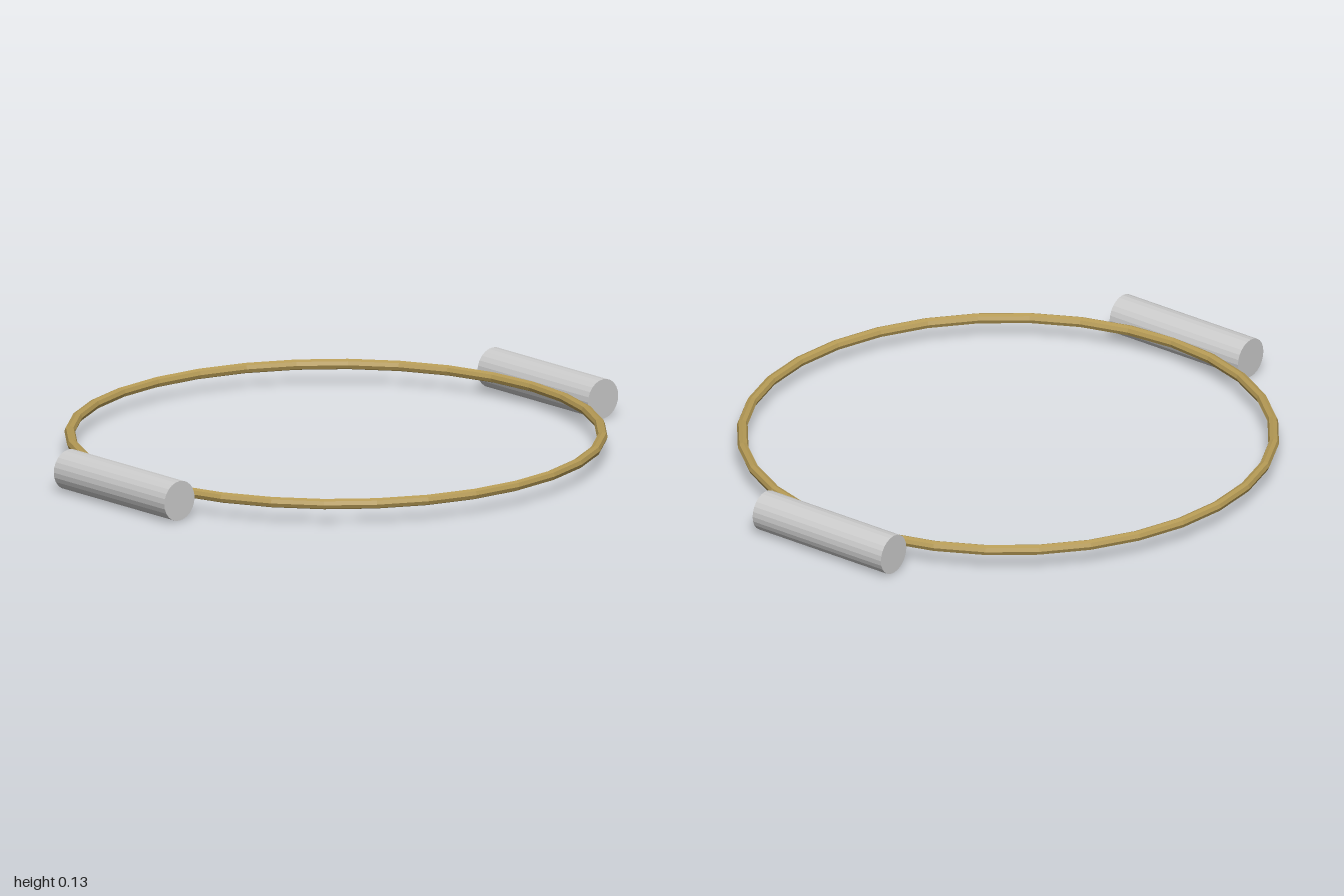
import * as THREE from 'three';

export function createModel() {
  const model = new THREE.Group();
  const barRadius = 1 / 15, barLength = 0.533, ringRadius = 0.867;

  const brass = new THREE.MeshStandardMaterial({ color: 0xb59a55, flatShading: true });
  const grey = new THREE.MeshStandardMaterial({ color: 0xcccccc, flatShading: true });

  // Thin horizontal hoop
  const ring = new THREE.Mesh(new THREE.TorusGeometry(ringRadius, 0.0175, 8, 32), brass);
  ring.name = 'ring';
  ring.rotation.x = Math.PI / 2;
  ring.position.y = barRadius;
  model.add(ring);

  // Cylinders along z on either side of the hoop
  const barGeometry = new THREE.CylinderGeometry(barRadius, barRadius, barLength, 24);
  barGeometry.rotateX(Math.PI / 2);
  for (const [name, side] of [['leftCylinder', 1], ['rightCylinder', -1]]) {
    const bar = new THREE.Mesh(barGeometry, grey);
    bar.name = name;
    bar.position.set(side * (1 - barRadius), barRadius, 0);
    model.add(bar);
  }

  return model;
}
